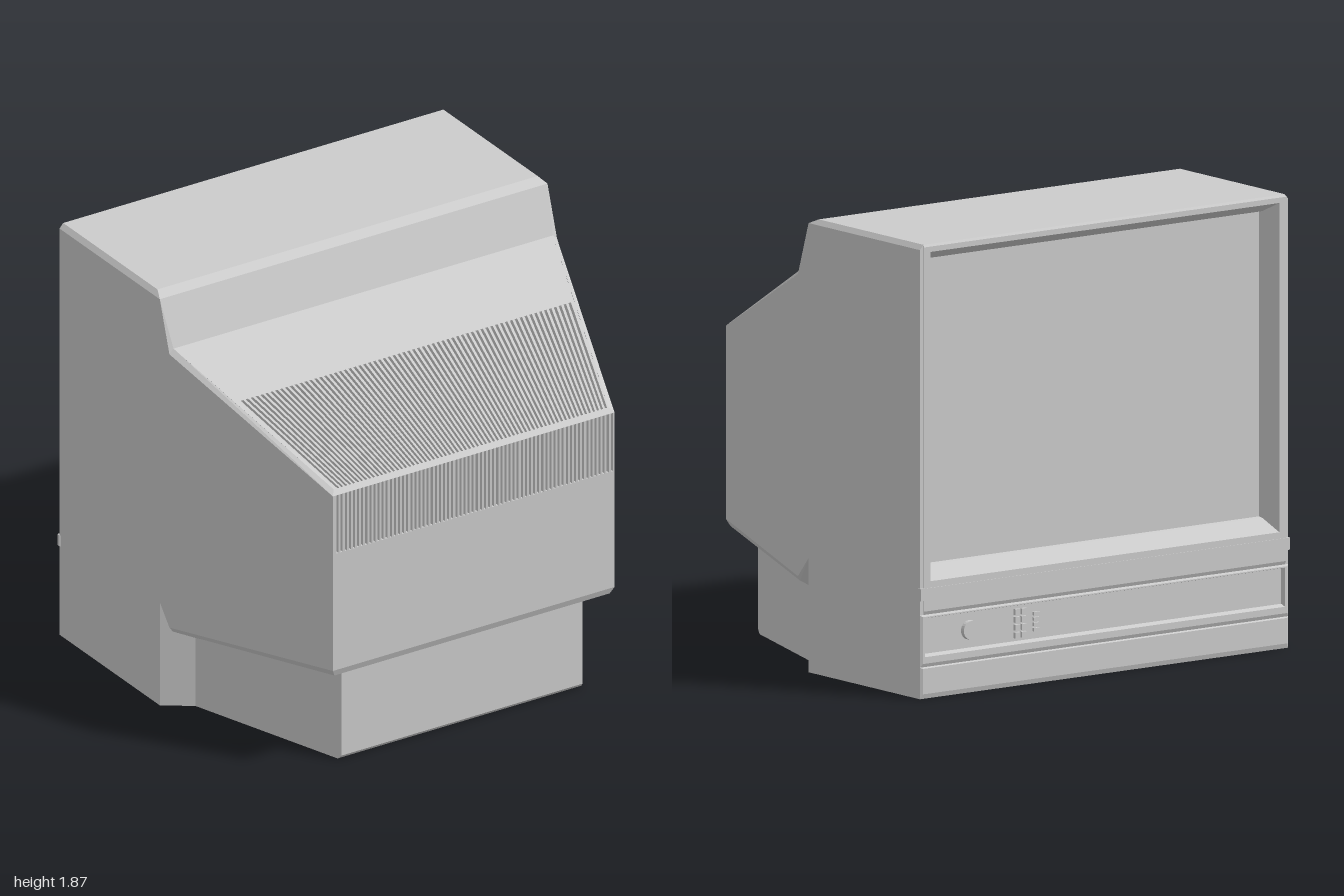
import * as THREE from 'three';

const material = new THREE.MeshStandardMaterial({ color: 0xcccccc, flatShading: true });

// Collects flat polygons into one mesh.
class Faces {
  constructor() { this.pos = []; }
  add(...p) {
    for (let i = 1; i < p.length - 1; i++) this.pos.push(...p[0], ...p[i], ...p[i + 1]);
    return this;
  }
  // Adds a face turned away from a point inside the solid, with its mirror image if asked
  out(p, mirror = false) {
    const [a, b, c] = p.slice(0, 3).map((v) => new THREE.Vector3(...v));
    const n = b.clone().sub(a).cross(c.clone().sub(a));
    const q = n.dot(a.sub(new THREE.Vector3(0, 0.9, -0.2))) < 0 ? [...p].reverse() : p;
    this.add(...q);
    if (mirror) this.add(...[...q].reverse().map(([x, y, z]) => [-x, y, z]));
    return this;
  }
  // Face spanning left to right between profile points [halfWidth, y, z]
  span(a, b) { return this.out([[-a[0], a[1], a[2]], a, b, [-b[0], b[1], b[2]]]); }
  mesh(name) {
    const g = new THREE.BufferGeometry();
    g.setAttribute('position', new THREE.Float32BufferAttribute(this.pos, 3));
    g.computeVertexNormals();
    const m = new THREE.Mesh(g, material);
    m.name = name;
    return m;
  }
}

// Nested rectangles [halfWidth, y0, y1, z] joined into a frame facing -z, last one filled
function frame(name, rects) {
  const f = new Faces();
  const rings = rects.map(([w, a, b, z]) => [[-w, a, z], [w, a, z], [w, b, z], [-w, b, z]]);
  for (let r = 0; r + 1 < rings.length; r++) {
    for (let i = 0; i < 4; i++) {
      const j = (i + 1) % 4;
      f.add(rings[r][i], rings[r + 1][i], rings[r + 1][j], rings[r][j]);
    }
  }
  f.add(...[...rings[rings.length - 1]].reverse());
  return f.mesh(name);
}

// Row of recessed slots between a lower and an upper edge [halfWidth, y, z]
function vents(name, low, high, inward, count) {
  const f = new Faces();
  const at = (e, t, sunk) => [e[0] * (2 * t - 1), e[1] + inward[1] * sunk, e[2] + inward[2] * sunk];
  const quad = (t0, s0, t1, s1) => f.add(at(low, t0, s0), at(low, t1, s1), at(high, t1, s1), at(high, t0, s0));
  for (let i = 0; i < count; i++) {
    const a = i / count, b = (i + 0.5) / count, c = (i + 1) / count;
    quad(a, 0, b, 0);
    quad(b, 0, b, 1);
    quad(b, 1, c, 1);
    quad(c, 1, c, 0);
    f.add(at(low, b, 0), at(low, c, 0), at(low, c, 1), at(low, b, 1));
    f.add(at(high, b, 1), at(high, c, 1), at(high, c, 0), at(high, b, 0));
  }
  return f.mesh(name);
}

function add(parent, name, geometry, x, y, z) {
  const m = new THREE.Mesh(geometry, material);
  m.name = name;
  m.position.set(x, y, z);
  parent.add(m);
  return m;
}

export function createModel() {
  const model = new THREE.Group();
  const tv = new THREE.Group();
  tv.name = 'television';
  tv.rotation.y = 0.2;
  tv.position.set(0.075, 0, -0.004);
  model.add(tv);

  const W = 0.936, front = -0.78;

  // Cabinet: sides, top with bevelled edges, step down at the rear
  const cabinet = new Faces();
  cabinet.out([[W, 0, front], [W, 1.85, front], [W, 1.85, -0.035], [W, 0, -0.035]], true);
  cabinet.out([[W, 1.85, -0.035], [W, 1.63, 0.036], [W, 0.385, 0.036], [W, 0.47, -0.035]], true);
  cabinet.out([[W, 1.85, front], [W - 0.018, 1.87, front], [W - 0.018, 1.87, -0.08], [W, 1.85, -0.035]], true);
  cabinet.span([W - 0.018, 1.87, front], [W - 0.018, 1.87, -0.08]);
  cabinet.span([W - 0.018, 1.87, -0.08], [W, 1.85, -0.035]);
  cabinet.span([W, 1.85, -0.035], [W - 0.02, 1.65, 0.036]);
  cabinet.out([[W, 1.85, -0.035], [W - 0.02, 1.65, 0.036], [W, 1.63, 0.036]], true);
  cabinet.span([W, 0, front], [W, 0, -0.035]);
  tv.add(cabinet.mesh('cabinet'));

  // Tapered rear housing
  const topIn = [W - 0.02, 1.65, 0.036], topOut = [W, 1.63, 0.036];
  const backIn = [0.664, 1.285, 0.837], backOut = [0.68, 1.265, 0.856];
  const ventTop = [0.819, 1.51, 0.343], slotTop = [0.803, 1.51, 0.343], slotLow = [0.656, 1.285, 0.837];
  const lowBack = [[0.68, 0.47, 0.856], [0.665, 0.44, 0.844], [0.582, 0.405, 0.77]];
  const lowFront = [[W, 0.385, 0.036], [0.922, 0.365, 0.04], [0.818, 0.31, 0.048]];
  const housing = new Faces();
  housing.out([topOut, lowFront[0], lowBack[0], backOut], true);
  housing.out([topIn, topOut, backOut, backIn], true);
  housing.span(topIn, ventTop);
  housing.out([ventTop, slotTop, slotLow, backIn], true);
  housing.span(backIn, backOut);
  housing.out([backOut, [0.672, 1.265, 0.856], [0.672, 1, 0.856], [0.68, 1, 0.856]], true);
  housing.span([0.68, 1, 0.856], lowBack[0]);
  // Chamfered underside drawn in to the pedestal
  for (let i = 0; i < 2; i++) {
    housing.out([lowFront[i], lowFront[i + 1], lowBack[i + 1], lowBack[i]], true);
    housing.span(lowBack[i], lowBack[i + 1]);
  }
  housing.out([[W, 0.47, -0.035], ...lowFront], true);
  tv.add(housing.mesh('rearHousing'));

  // Cooling slots on the slope and the back
  tv.add(vents('slopeVents', slotLow, slotTop, [0, -0.023, -0.01], 68));
  tv.add(vents('backVents', [0.672, 1, 0.856], [0.672, 1.265, 0.856], [0, 0, -0.025], 68));

  // Pedestal under the housing, with a bevel along its rear foot
  const pedestal = new Faces();
  const base = [[W, 0, -0.035], [0.818, 0, 0.048], [0.582, 0.02, 0.77], [0.5885, 0, 0.75]];
  pedestal.out([base[0], [W, 0.47, -0.035], lowFront[2], base[1]], true);
  pedestal.out([base[1], lowFront[2], lowBack[2], base[2], base[3]], true);
  pedestal.span(lowBack[2], base[2]);
  pedestal.span(base[2], base[3]);
  pedestal.span(base[0], base[1]);
  pedestal.span(base[1], base[3]);
  tv.add(pedestal.mesh('pedestal'));

  // Screen surround, control recess and bottom rail on the viewing side
  tv.add(frame('screenSurround', [
    [W, 0.345, 1.85, front], [W - 0.018, 0.345, 1.87, front], [0.92, 0.36, 1.86, -0.787],
    [0.886, 0.482, 1.838, -0.787], [0.85, 0.535, 1.8, -0.722], [0.845, 0.54, 1.795, -0.705],
  ]));
  tv.add(frame('controlPanel', [
    [W, 0.13, 0.345, front], [0.926, 0.145, 0.338, -0.787],
    [0.914, 0.172, 0.333, -0.787], [0.91, 0.182, 0.328, -0.768],
  ]));
  tv.add(frame('bottomRail', [[W, 0, 0.13, front], [0.926, 0.02, 0.125, -0.787]]));
  add(tv, 'trimLip', new THREE.BoxGeometry(1.878, 0.05, 0.016), 0, 0.43, -0.782);

  // Power knob and two banks of small buttons
  const knob = add(tv, 'powerKnob', new THREE.CylinderGeometry(0.038, 0.04, 0.02, 24), 0.678, 0.256, -0.775);
  knob.rotation.x = -Math.PI / 2;
  for (let row = 0; row < 4; row++) {
    for (let col = 0; col < 2; col++) {
      add(tv, 'channelButton', new THREE.BoxGeometry(0.026, 0.024, 0.016),
        0.405 + col * 0.032, 0.207 + row * 0.032, -0.773);
    }
    add(tv, 'tuningButton', new THREE.BoxGeometry(0.03, 0.014, 0.014), 0.34, 0.22 + row * 0.022, -0.772);
  }
  return model;
}
